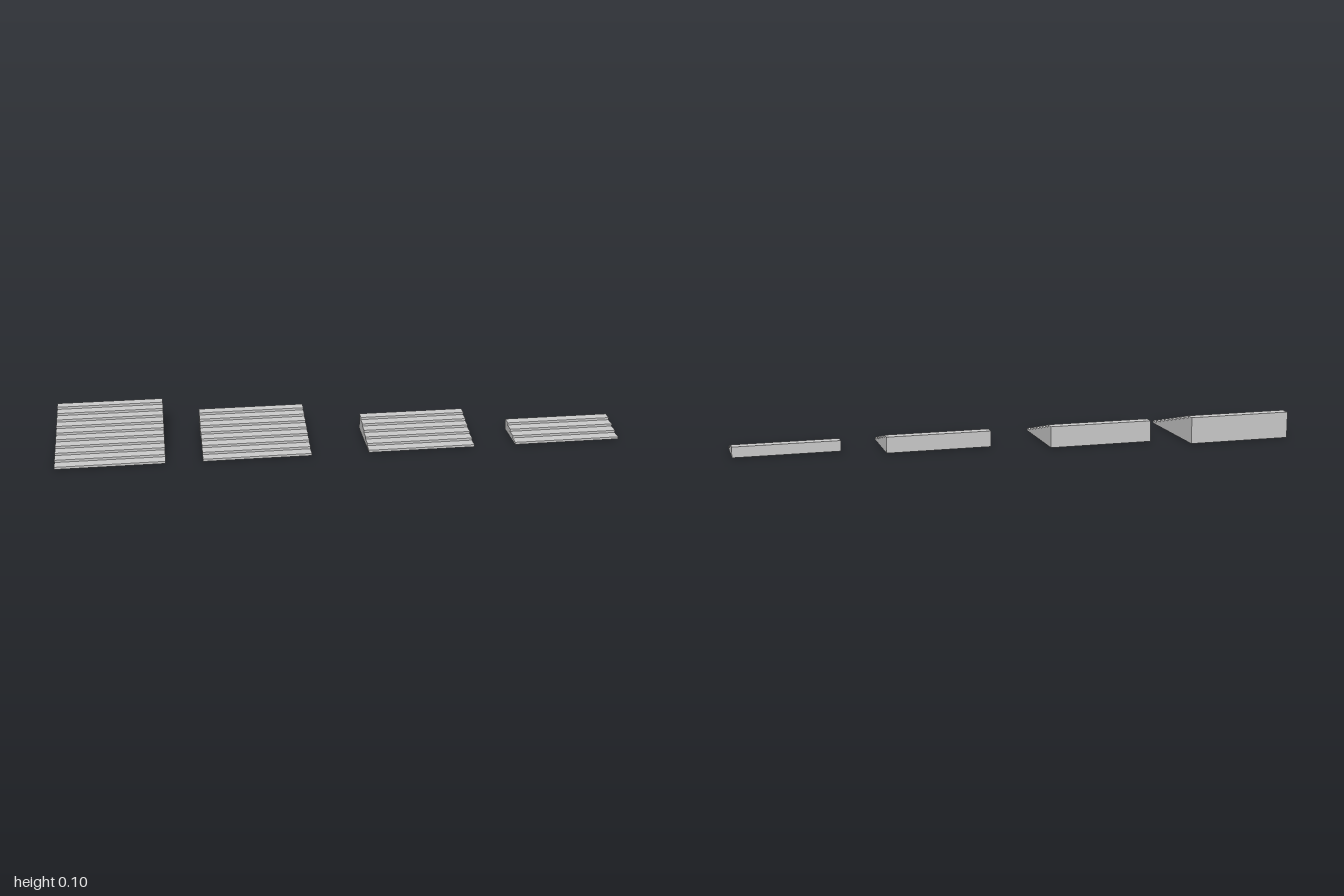
import * as THREE from 'three';

const WIDTH = 0.38, RUN = 0.038, RISE = 0.0096, FRONT = 0.19;
const LIP = 0.004, NOSE = 0.003; // nosing height and overhang

const material = new THREE.MeshStandardMaterial({ color: 0xcccccc, side: THREE.DoubleSide });

function addMesh(parent, name, geometry) {
  const mesh = new THREE.Mesh(geometry, material);
  mesh.name = name;
  parent.add(mesh);
  return mesh;
}

// Sweeps an open [z, y] path across the width, with one flat quad per segment.
function sweep(path) {
  const a = -WIDTH / 2, b = WIDTH / 2, positions = [];
  for (let i = 0; i + 1 < path.length; i++) {
    const [z0, y0] = path[i], [z1, y1] = path[i + 1];
    positions.push(a, y0, z0, b, y0, z0, b, y1, z1, a, y0, z0, b, y1, z1, a, y1, z1);
  }
  const geometry = new THREE.BufferGeometry();
  geometry.setAttribute('position', new THREE.Float32BufferAttribute(positions, 3));
  geometry.computeVertexNormals();
  return geometry;
}

// Zigzag of set-back risers, overhanging nosings and treads.
function stepProfile(count) {
  const path = [];
  for (let i = 0; i < count; i++) {
    const z = FRONT - i * RUN, top = (i + 1) * RISE;
    path.push([z - NOSE, i * RISE], [z - NOSE, top - LIP - 0.001], [z, top - LIP], [z, top]);
  }
  path.push([FRONT - count * RUN, count * RISE]);
  return path;
}

// Upright panel closing the stair behind a given step.
function wallBehind(step) {
  const z = FRONT - step * RUN;
  return sweep([[z, step * RISE], [z, 0]]);
}

// One hollow flight, open underneath.
function createFlight(count, innerWalls) {
  const flight = new THREE.Group();
  const profile = stepProfile(count);
  addMesh(flight, 'steps', sweep(profile));
  addMesh(flight, 'backWall', wallBehind(count));
  for (const step of innerWalls) addMesh(flight, 'innerWall', wallBehind(step));

  // matching stepped sides
  const outline = [...profile, [FRONT - count * RUN, 0]].map(([z, y]) => new THREE.Vector2(z, y));
  const side = new THREE.ShapeGeometry(new THREE.Shape(outline));
  side.rotateY(-Math.PI / 2).translate(-WIDTH / 2, 0, 0);
  addMesh(flight, 'rightSide', side);
  addMesh(flight, 'leftSide', side).scale.x = -1;
  return flight;
}

export function createModel() {
  const model = new THREE.Group();
  model.name = 'stairSet';
  const flights = [
    { name: 'tenStepFlight', x: -0.81, count: 10, innerWalls: [4, 8] },
    { name: 'eightStepFlight', x: -0.301, count: 8, innerWalls: [4] },
    { name: 'sixStepFlight', x: 0.281, count: 6, innerWalls: [] },
    { name: 'fourStepFlight', x: 0.81, count: 4, innerWalls: [] },
  ];
  for (const { name, x, count, innerWalls } of flights) {
    const flight = createFlight(count, innerWalls);
    flight.name = name;
    flight.position.x = x;
    model.add(flight);
  }
  return model;
}
